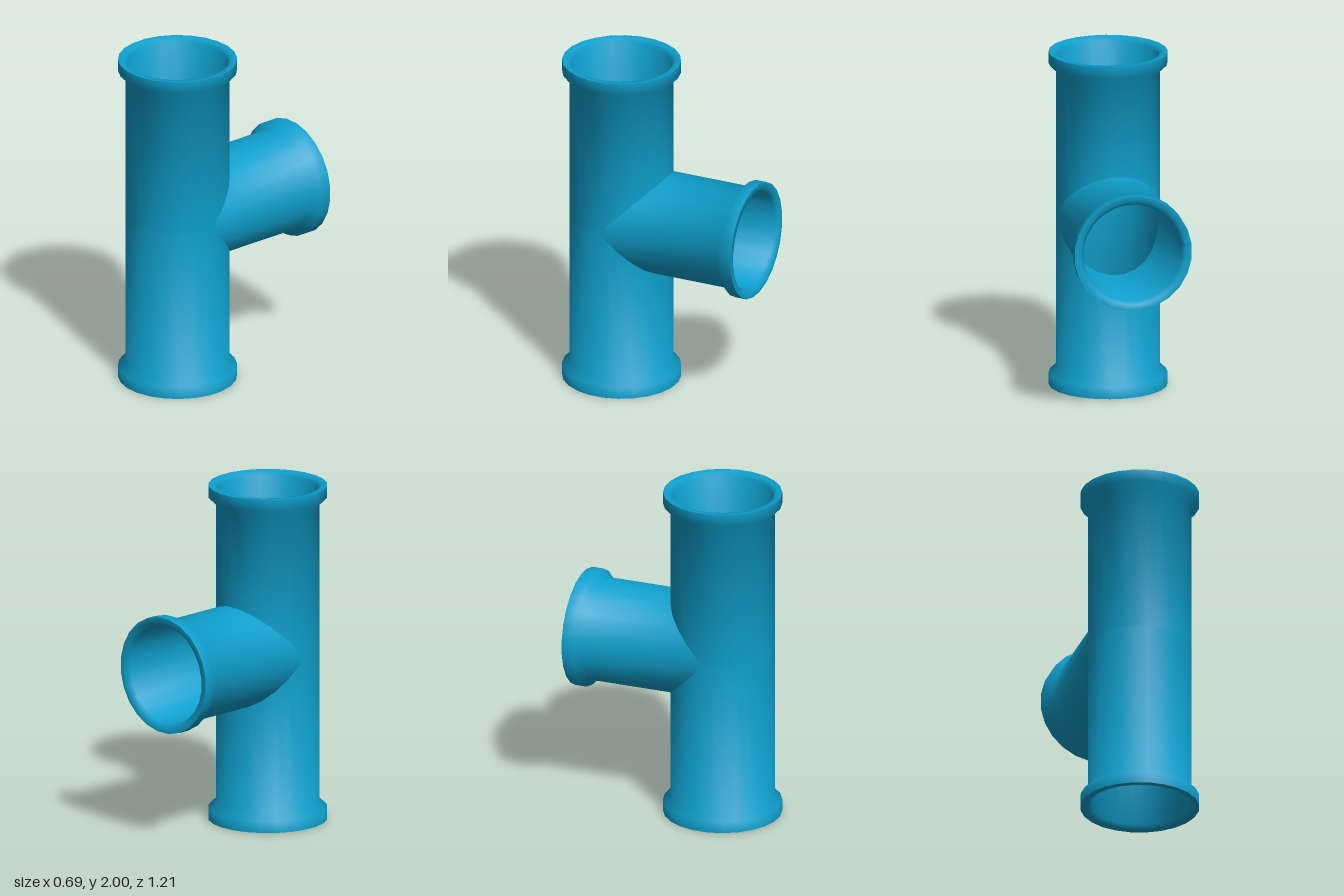
import * as THREE from 'three';
import { toCreasedNormals } from 'three/addons/utils/BufferGeometryUtils.js';

const SIDES = 24, HALF = Math.PI / SIDES;
const OUTER = 0.3, INNER = 0.288, FLANGE = 0.343;
const AXIS_Y = 1.02, AXIS_Z = 0.262;

const material = new THREE.MeshStandardMaterial({ color: 0x0f9fcc, side: THREE.DoubleSide });

// One hollow arm running up +y from the junction; its open foot is mitred by cut(z)
function makeArm(name, length, cut) {
  const profile = [
    [OUTER, 0], [OUTER, length - 0.11], [FLANGE, length - 0.068], [FLANGE, length],
    [0.308, length], [INNER, length - 0.025], [INNER, 0],
  ].map(([r, y]) => new THREE.Vector2(r / Math.cos(HALF), y));
  const geometry = new THREE.LatheGeometry(profile, SIDES, HALF);
  const p = geometry.attributes.position;
  for (let i = 0; i < p.count; i++) {
    if (p.getY(i) === 0) p.setY(i, cut(p.getZ(i)));
  }
  const arm = new THREE.Mesh(toCreasedNormals(geometry, 1), material);
  arm.name = name;
  arm.position.set(0, AXIS_Y, AXIS_Z);
  return arm;
}

// Small flat triangle closing the side of the junction where the three arms meet
function makeGusset(side, radius) {
  const d = radius * Math.tan(HALF), x = side * radius;
  const corners = [[x, d, -d], [x, 0, d], [x, -d, -d]];
  if (side * radius < 0) corners.reverse();
  const geometry = new THREE.BufferGeometry();
  geometry.setAttribute('position', new THREE.Float32BufferAttribute(corners.flat(), 3));
  geometry.computeVertexNormals();
  const gusset = new THREE.Mesh(geometry, material);
  gusset.name = 'junctionGusset';
  gusset.position.set(0, AXIS_Y, AXIS_Z);
  return gusset;
}

export function createModel() {
  const group = new THREE.Group();
  group.name = 'pipeTee';

  // Main run: two arms notched towards the back
  const notch = (z) => Math.max(0, -z);
  const upper = makeArm('upperArm', 2 - AXIS_Y, notch);
  const lower = makeArm('lowerArm', AXIS_Y, notch);
  lower.rotation.z = Math.PI;

  // Branch to the back, mitred on both halves
  const branch = makeArm('branchArm', 0.605 + AXIS_Z, Math.abs);
  branch.rotation.x = -Math.PI / 2;
  group.add(upper, lower, branch);

  for (const side of [-1, 1]) {
    for (const radius of [OUTER, INNER]) group.add(makeGusset(side, radius));
  }
  return group;
}
